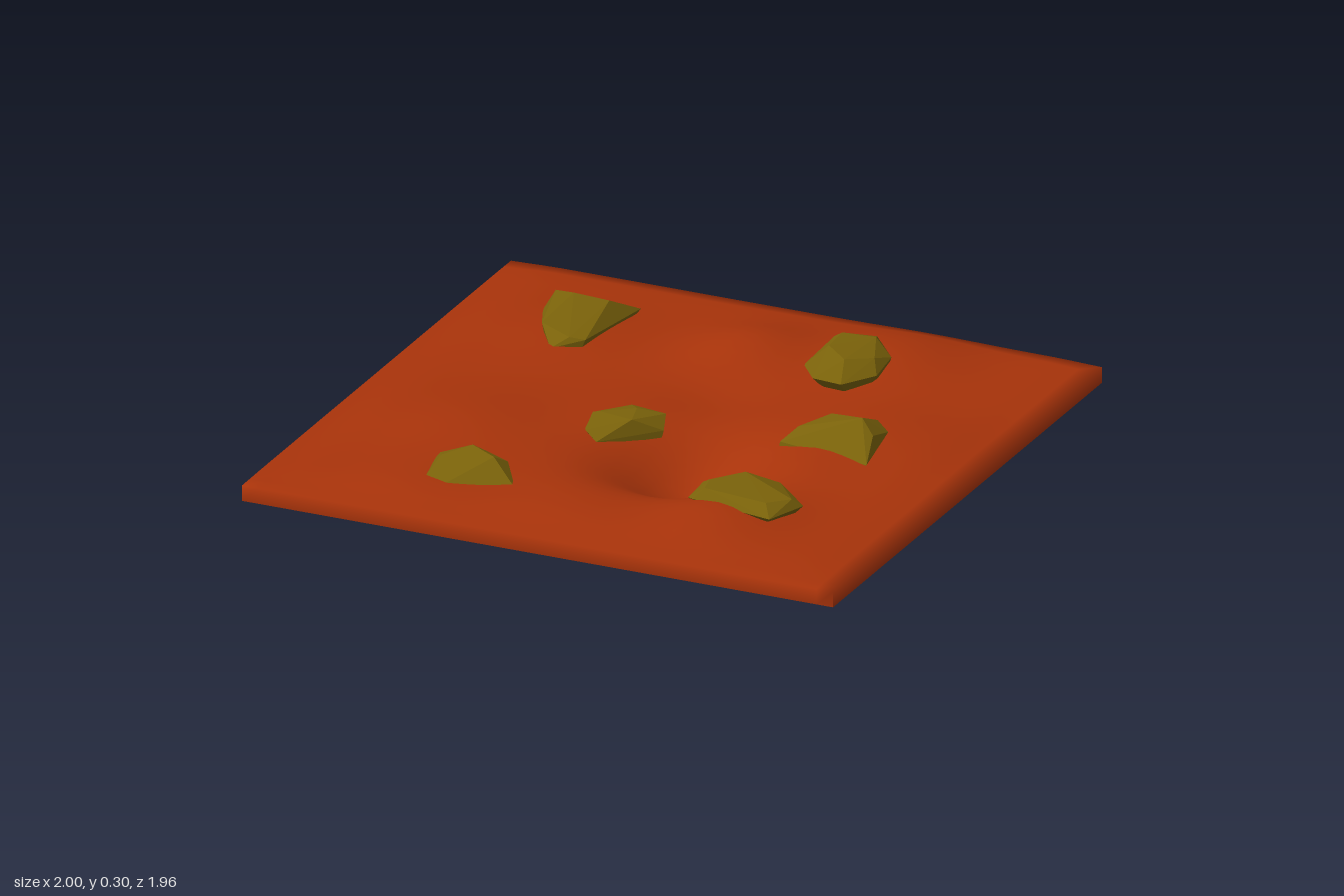
import * as THREE from 'three';
import { ConvexGeometry } from 'three/addons/geometries/ConvexGeometry.js';

// Mounds and hollows of the ground: x, z, height, radius
const BUMPS = [
  [0.0, -0.6, 0.062, 0.2], [0.42, -0.72, 0.05, 0.22], [-0.58, -0.5, 0.03, 0.26],
  [-0.55, 0.3, 0.04, 0.28], [0.46, 0.63, 0.05, 0.2], [0.0, 0.68, 0.025, 0.25],
  [-0.55, 0.75, 0.018, 0.2], [0.65, -0.15, 0.03, 0.25], [-0.12, 0.05, 0.015, 0.2],
  [0.48, 0.15, 0.02, 0.14], [0.17, 0.26, -0.14, 0.22], [0.03, -0.24, -0.015, 0.16],
];

function groundHeight(x, z) {
  const edge = (d) => THREE.MathUtils.smoothstep(d, -0.04, 0.18);
  let h = 0.014;
  for (const [bx, bz, a, r] of BUMPS) h += a * Math.exp(-((x - bx) ** 2 + (z - bz) ** 2) / (r * r));
  return 0.171 + h * edge(1 - Math.abs(x)) * edge(0.98 - z) * edge(1.03 + z);
}

// Open sheet whose outermost ring of vertices folds straight down as a skirt
function makeGround() {
  const n = 38;
  const geo = new THREE.PlaneGeometry(2, 2, n, n).rotateX(-Math.PI / 2);
  const p = geo.attributes.position;
  const place = (i) => THREE.MathUtils.clamp((2 * (i - 1)) / (n - 2) - 1, -1, 1);
  for (let j = 0; j <= n; j++) {
    for (let i = 0; i <= n; i++) {
      const x = place(i), z = place(j) * 0.98;
      const skirt = i === 0 || j === 0 || i === n || j === n;
      p.setXYZ(j * (n + 1) + i, x, skirt ? 0.12 : groundHeight(x, z), z);
    }
  }
  geo.computeVertexNormals();
  const mesh = new THREE.Mesh(geo, new THREE.MeshStandardMaterial({ color: 0xa8330a, side: THREE.DoubleSide }));
  mesh.name = 'ground';
  return mesh;
}

// Faceted stones, each the hull of a few corners: x, y, z
const STONES = {
  backLeftStone: [
    [-0.72, 0.2, -0.61], [-0.7, 0.25, -0.66], [-0.44, 0.21, -0.72], [-0.62, 0.27, -0.62], [-0.5, 0.265, -0.62],
    [-0.47, 0.23, -0.38], [-0.57, 0.2, -0.34], [-0.64, 0.24, -0.43], [-0.52, 0.235, -0.37],
    [-0.66, 0.12, -0.62], [-0.5, 0.12, -0.65], [-0.59, 0.02, -0.42], [-0.56, 0.0, -0.5], [-0.52, 0.1, -0.37],
  ],
  backRightStone: [
    [0.2, 0.21, -0.53], [0.23, 0.25, -0.69], [0.36, 0.26, -0.72], [0.45, 0.24, -0.63], [0.46, 0.23, -0.5],
    [0.39, 0.23, -0.39], [0.29, 0.23, -0.4], [0.28, 0.285, -0.54], [0.38, 0.28, -0.67], [0.36, 0.275, -0.48],
    [0.27, 0.28, -0.66], [0.43, 0.265, -0.55],
    [0.25, 0.15, -0.64], [0.42, 0.14, -0.62], [0.3, 0.105, -0.55], [0.38, 0.105, -0.5],
  ],
  centreStone: [
    [-0.25, 0.18, 0.1], [-0.24, 0.2, 0.06], [-0.14, 0.215, -0.01], [-0.02, 0.21, 0.0], [0.0, 0.18, 0.06],
    [-0.15, 0.18, 0.23], [-0.2, 0.2, 0.2], [-0.1, 0.23, 0.04], [-0.08, 0.225, 0.12], [-0.2, 0.225, 0.1],
    [-0.21, 0.11, 0.06], [-0.15, 0.075, 0.03], [-0.06, 0.07, 0.07], [-0.01, 0.09, 0.1], [-0.12, 0.08, 0.16],
  ],
  rightStone: [
    [0.37, 0.19, 0.01], [0.4, 0.22, -0.06], [0.48, 0.25, -0.13], [0.64, 0.26, -0.12], [0.69, 0.24, -0.09],
    [0.7, 0.2, 0.09], [0.63, 0.3, -0.03], [0.56, 0.27, -0.02], [0.68, 0.26, 0.0],
    [0.36, 0.08, 0.03], [0.43, 0.04, -0.07], [0.52, 0.02, -0.02], [0.48, 0.03, 0.07], [0.6, 0.1, -0.12],
    [0.62, 0.12, 0.08],
  ],
  frontRightStone: [
    [0.31, 0.2, 0.55], [0.32, 0.22, 0.46], [0.44, 0.21, 0.35], [0.54, 0.22, 0.37], [0.7, 0.24, 0.55],
    [0.64, 0.23, 0.67], [0.35, 0.22, 0.6], [0.36, 0.25, 0.5], [0.44, 0.255, 0.41], [0.67, 0.265, 0.57],
    [0.38, 0.255, 0.58], [0.61, 0.265, 0.63], [0.37, 0.13, 0.52], [0.43, 0.03, 0.41], [0.5, 0.05, 0.41],
    [0.6, 0.14, 0.48],
  ],
  frontLeftStone: [
    [-0.53, 0.19, 0.62], [-0.51, 0.22, 0.59], [-0.38, 0.23, 0.54], [-0.29, 0.22, 0.57], [-0.21, 0.19, 0.69],
    [-0.43, 0.19, 0.78], [-0.49, 0.2, 0.75], [-0.4, 0.265, 0.59], [-0.31, 0.255, 0.63], [-0.48, 0.24, 0.65],
    [-0.47, 0.11, 0.66], [-0.42, 0.08, 0.62], [-0.34, 0.065, 0.66], [-0.26, 0.08, 0.65], [-0.38, 0.09, 0.71],
  ],
};

export function createModel() {
  const group = new THREE.Group();
  group.name = 'rockyGround';
  group.add(makeGround());
  const stoneMaterial = new THREE.MeshStandardMaterial({ color: 0x7a620a, flatShading: true });
  for (const [name, corners] of Object.entries(STONES)) {
    const geo = new ConvexGeometry(corners.map((c) => new THREE.Vector3(...c)));
    const stone = new THREE.Mesh(geo, stoneMaterial);
    stone.name = name;
    group.add(stone);
  }
  return group;
}
